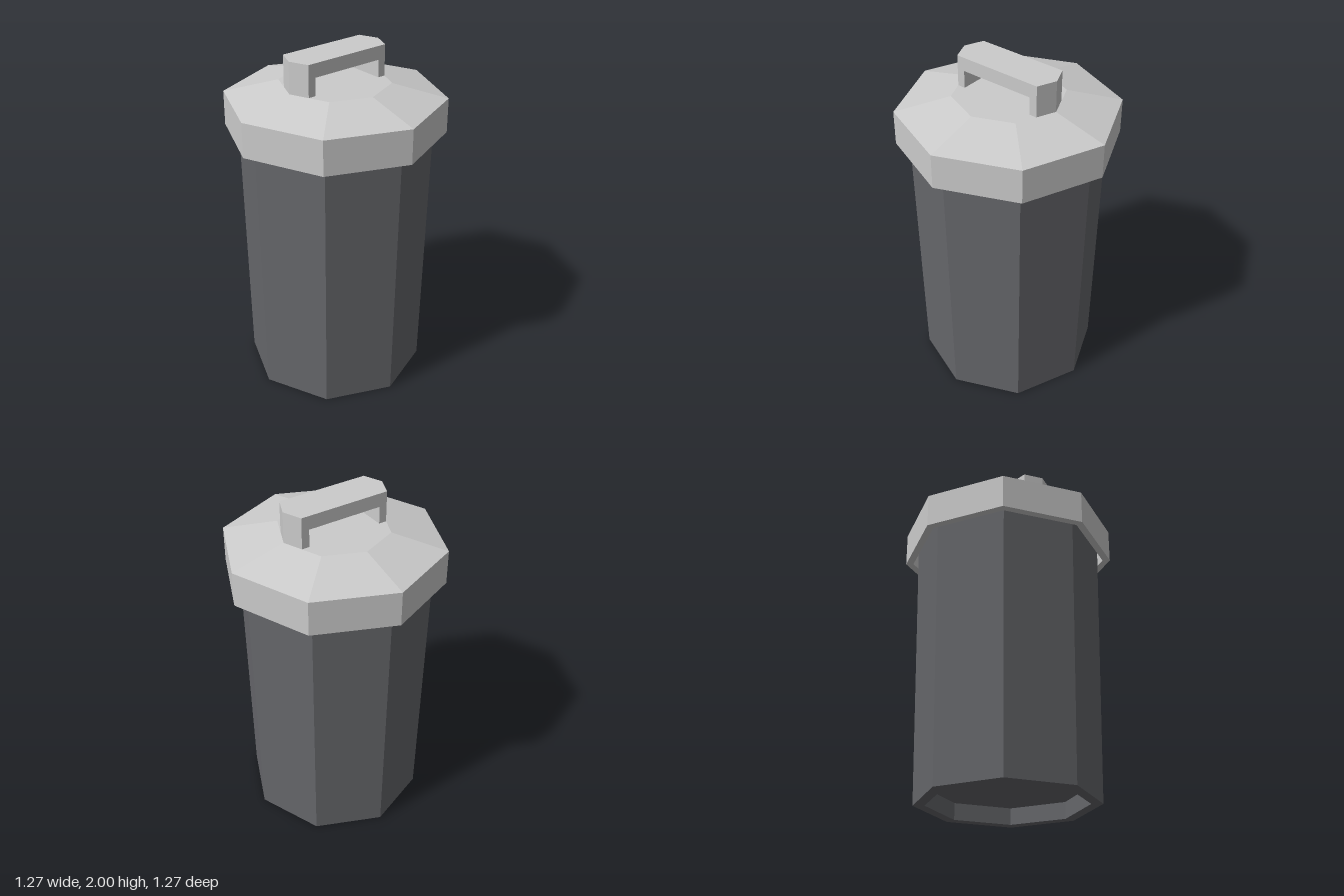
import * as THREE from 'three';

const SIDES = 8;

// Revolve an [r, y] profile into a faceted octagonal part
function octagonal(name, profile, material) {
  const points = profile.map(([r, y]) => new THREE.Vector2(r, y));
  const mesh = new THREE.Mesh(new THREE.LatheGeometry(points, SIDES), material);
  mesh.name = name;
  return mesh;
}

// Bridge-shaped grip, extruded across x, with its ends pulled out to a point
function makeHandle(material) {
  const halfWidth = 0.11, end = 0.271, tip = 0.317, inner = 0.225;
  const low = 1.81, under = 1.92, top = 2;
  const outline = [
    [-end, low], [-inner, low], [-inner, under], [inner, under],
    [inner, low], [end, low], [end, top], [-end, top],
  ].map(([z, y]) => new THREE.Vector2(z, y));
  const geometry = new THREE.ExtrudeGeometry(new THREE.Shape(outline), {
    depth: halfWidth * 2, steps: 2, bevelEnabled: false,
  });
  geometry.translate(0, 0, -halfWidth);
  geometry.rotateY(Math.PI / 2);

  const pos = geometry.attributes.position;
  for (let i = 0; i < pos.count; i++) {
    const z = pos.getZ(i);
    if (Math.abs(pos.getX(i)) < 0.01 && Math.abs(z) > 0.25) pos.setZ(i, Math.sign(z) * tip);
  }
  geometry.computeVertexNormals();
  const mesh = new THREE.Mesh(geometry, material);
  mesh.name = 'handle';
  return mesh;
}

export function createModel() {
  const grey = new THREE.MeshStandardMaterial({ color: 0xcccccc, flatShading: true });
  const dark = new THREE.MeshStandardMaterial({ color: 0x66676b, flatShading: true });

  const bin = new THREE.Group();
  bin.name = 'dustbin';

  // Tapered body with a recessed base; its top is hidden in the lid
  bin.add(octagonal('body', [
    [0, 0.1], [0.46, 0.1], [0.46, 0], [0.527, 0], [0.559, 1.7], [0, 1.7],
  ], dark));

  // Hollow lid: inner skin, rim, outer skirt, slope and flat crown
  bin.add(octagonal('lid', [
    [0, 1.77], [0.3, 1.77], [0.588, 1.705], [0.588, 1.535],
    [0.633, 1.535], [0.633, 1.737], [0.317, 1.817], [0, 1.817],
  ], grey));

  bin.add(makeHandle(grey));
  return bin;
}
